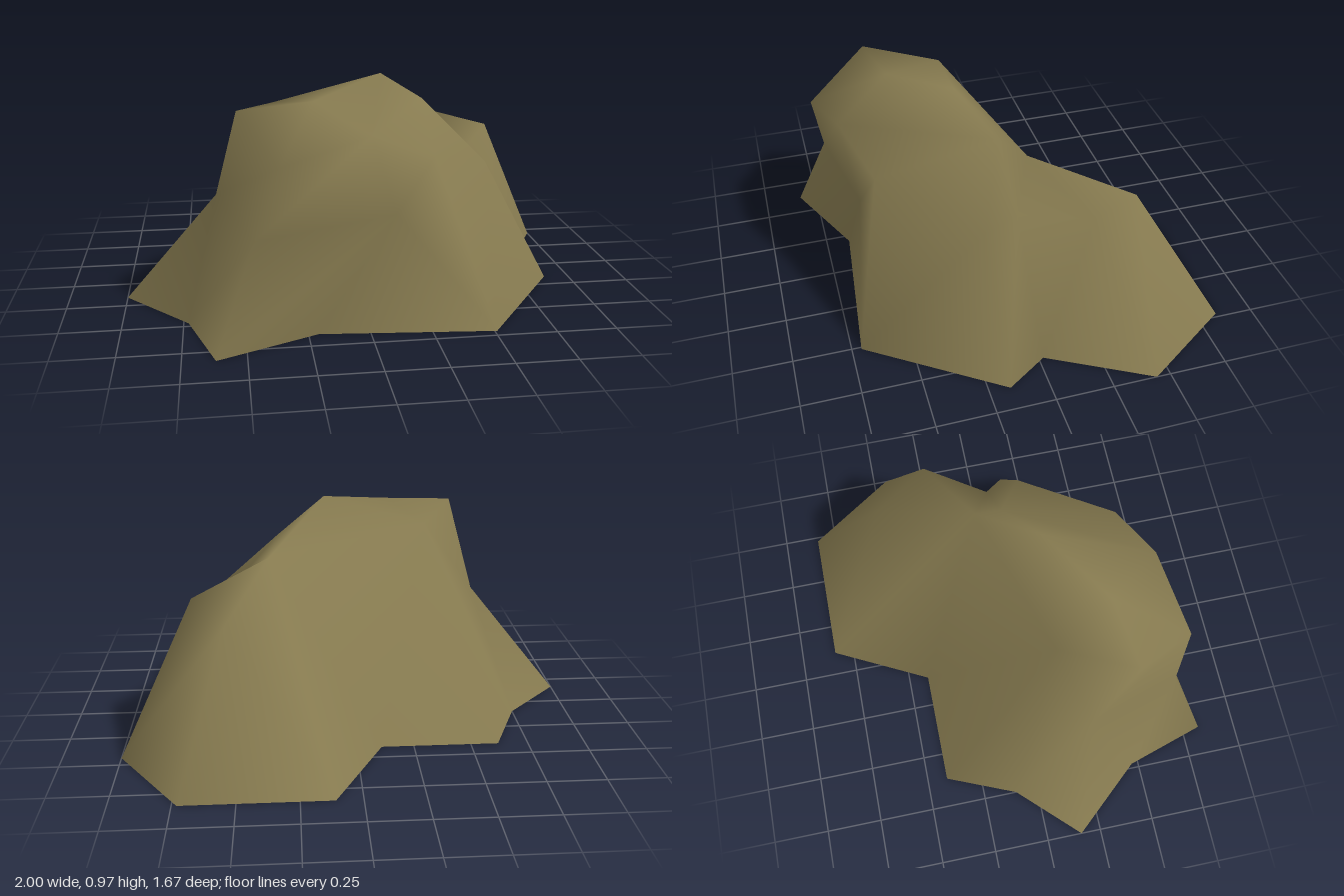
import * as THREE from 'three';

// Ground outline, walking left side -> back -> right side -> front (x, z)
const outline = [
  [-1, 0.16], [-0.75, -0.1], [-0.62, -0.41], [-0.11, -0.41], [0.11, -0.84],
  [0.73, -0.84], [1, -0.44], [0.77, -0.02], [0.89, 0.16], [0.51, 0.71],
  [-0.21, 0.645], [-0.62, 0.83], [-0.73, 0.47],
];

// Named corners of the rock above the ground
const corners = {
  side: [-0.6, 0.49, 0.27],
  sideTop: [-0.51, 0.885, 0.46],
  backTop: [-0.35, 0.85, 0.14],
  saddle: [0.36, 0.76, -0.06],
  tailBack: [0.54, 0.6, -0.485],
  tailSide: [0.69, 0.64, -0.24],
  notch: [0.53, 0.6, 0.03],
  buttress: [0.58, 0.57, 0.18],
  shoulder: [0.32, 0.833, 0.05],
  spur: [0.27, 0.7, 0.56],
  hollow: [0.11, 0.48, 0.61],
  cheek: [-0.46, 0.42, 0.69],
  brow: [-0.36, 0.72, 0.735],
  lip: [0, 0.815, 0.66],
  crown: [-0.2, 0.905, 0.41],
  peak: [0.11, 0.973, 0.18],
};

// Columns of the ground loop; the front right point carries two columns
const groundLoop = [0, 1, 2, 3, 4, 5, 6, 7, 8, 9, 9, 10, 11, 12];

// Loops above the ground; a repeated corner merges neighbouring columns
const loops = [
  'side backTop backTop saddle tailBack tailBack tailSide notch buttress spur hollow hollow cheek side',
  'sideTop backTop backTop saddle saddle saddle saddle shoulder shoulder lip lip lip brow sideTop',
  'crown crown peak peak peak peak peak peak peak peak crown crown crown crown',
];

function rockGeometry() {
  const names = Object.keys(corners);
  const positions = outline.flatMap(([x, z]) => [x, 0, z]).concat(Object.values(corners).flat());
  const rings = [
    groundLoop,
    ...loops.map((loop) => loop.split(' ').map((name) => outline.length + names.indexOf(name))),
  ];

  // Stitch each loop to the next, skipping collapsed triangles
  const index = [];
  const tri = (a, b, c) => {
    if (a !== b && b !== c && c !== a) index.push(a, b, c);
  };
  for (let r = 0; r < rings.length - 1; r++) {
    const low = rings[r], high = rings[r + 1];
    for (let i = 0; i < low.length; i++) {
      const j = (i + 1) % low.length;
      tri(low[i], high[i], low[j]);
      tri(low[j], high[i], high[j]);
    }
  }

  const geometry = new THREE.BufferGeometry();
  geometry.setAttribute('position', new THREE.Float32BufferAttribute(positions, 3));
  geometry.setIndex(index);
  geometry.computeVertexNormals();
  return geometry;
}

export function createModel() {
  const group = new THREE.Group();
  group.name = 'boulder';

  // Open-bottomed shell, so both sides show
  const stone = new THREE.MeshStandardMaterial({ color: 0x877b50, side: THREE.DoubleSide });
  stone.name = 'mossy stone';

  const rock = new THREE.Mesh(rockGeometry(), stone);
  rock.name = 'rock';
  group.add(rock);
  return group;
}
